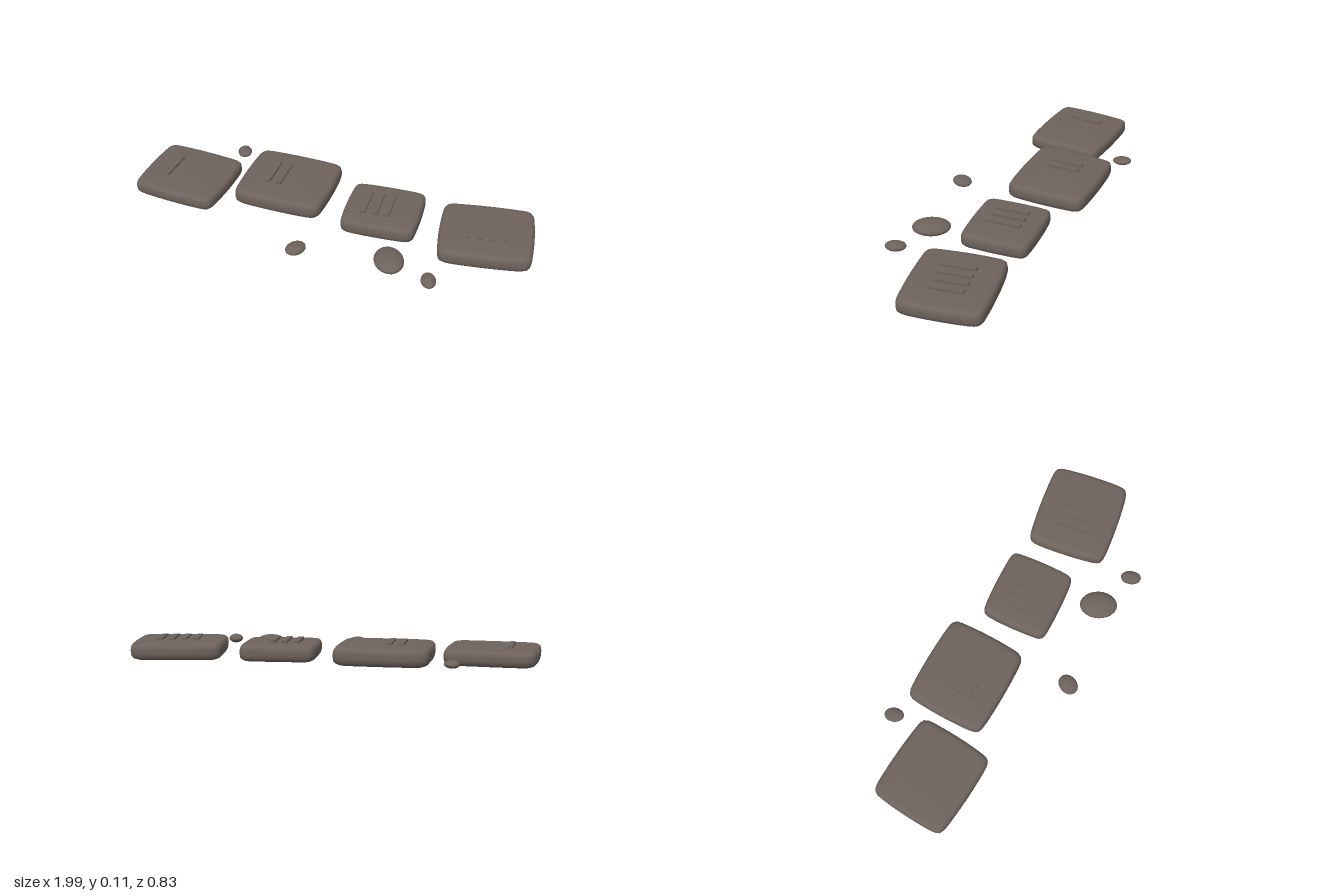
import * as THREE from 'three';
import { mergeVertices } from 'three/addons/utils/BufferGeometryUtils.js';

const stone = new THREE.MeshStandardMaterial({ color: 0x6e635c });
stone.name = 'weathered stone';

// Softly bulging square slab: a lathed edge profile pushed out to a superellipse
function slabGeometry(width, depth, height) {
  const profile = [
    [0, 0], [0.4, 0], [0.74, 0.01], [0.86, 0.05], [0.94, 0.13], [0.985, 0.25], [1, 0.42],
    [1, 0.62], [0.99, 0.76], [0.965, 0.86], [0.925, 0.92], [0.85, 0.95], [0.5, 0.99], [0, 1],
  ].map(([r, y]) => new THREE.Vector2(r, y));
  let geo = new THREE.LatheGeometry(profile, 96);
  geo.deleteAttribute('uv');
  geo.deleteAttribute('normal');
  const p = geo.attributes.position;
  const n = 14;
  for (let i = 0; i < p.count; i++) {
    const x = p.getX(i), z = p.getZ(i);
    const r = Math.hypot(x, z) || 1;
    const k = (Math.abs(x / r) ** n + Math.abs(z / r) ** n || 1) ** (-1 / n);
    const u = x * k, v = z * k;
    p.setXYZ(i, u * (1 - 0.045 * v * v) * width / 2, p.getY(i) * height, v * (1 - 0.045 * u * u) * depth / 2);
  }
  geo = mergeVertices(geo, 1e-5);
  geo.computeVertexNormals();
  return geo;
}

export function createModel() {
  const model = new THREE.Group();
  model.name = 'steppingStones';

  function add(parent, name, geometry, x, y, z) {
    const mesh = new THREE.Mesh(geometry, stone);
    mesh.name = name;
    mesh.position.set(x, y, z);
    parent.add(mesh);
    return mesh;
  }

  // Slabs, each carrying one more tally bar than the last
  const slabs = [
    // x, base y, z, width, depth, height, turn
    [-0.762, 0.005, -0.077, 0.44, 0.395, 0.083, -0.13],
    [-0.257, 0.008, -0.148, 0.46, 0.41, 0.094, -0.065],
    [0.252, 0.004, -0.058, 0.372, 0.342, 0.087, 0],
    [0.763, 0.0, -0.013, 0.45, 0.405, 0.09, 0.1],
  ];
  slabs.forEach(([x, y, z, w, d, h, turn], i) => {
    const group = new THREE.Group();
    group.name = 'steppingStone' + (i + 1);
    group.position.set(x, y, z);
    group.rotation.y = turn;
    add(group, 'slab', slabGeometry(w, d, h), 0, 0, 0);
    for (let j = 0; j <= i; j++) {
      add(group, 'tallyBar', new THREE.BoxGeometry(0.026, 0.024, 0.165), -0.085 + 0.058 * j, h - 0.002, 0);
    }
    model.add(group);
  });

  // Loose flattened pebbles
  const pebbles = [
    // x, y, z, radii, turn
    [-0.572, 0.04, -0.375, 0.035, 0.018, 0.047, 0.3],
    [-0.08, 0.042, 0.312, 0.043, 0.022, 0.053, -0.5],
    [0.36, 0.042, 0.277, 0.07, 0.031, 0.092, 0.4],
    [0.564, 0.04, 0.363, 0.035, 0.022, 0.05, 0.3],
  ];
  for (const [x, y, z, rx, ry, rz, turn] of pebbles) {
    const pebble = add(model, 'pebble', new THREE.SphereGeometry(1, 24, 16), x, y, z);
    pebble.scale.set(rx, ry, rz);
    pebble.rotation.y = turn;
  }
  return model;
}
